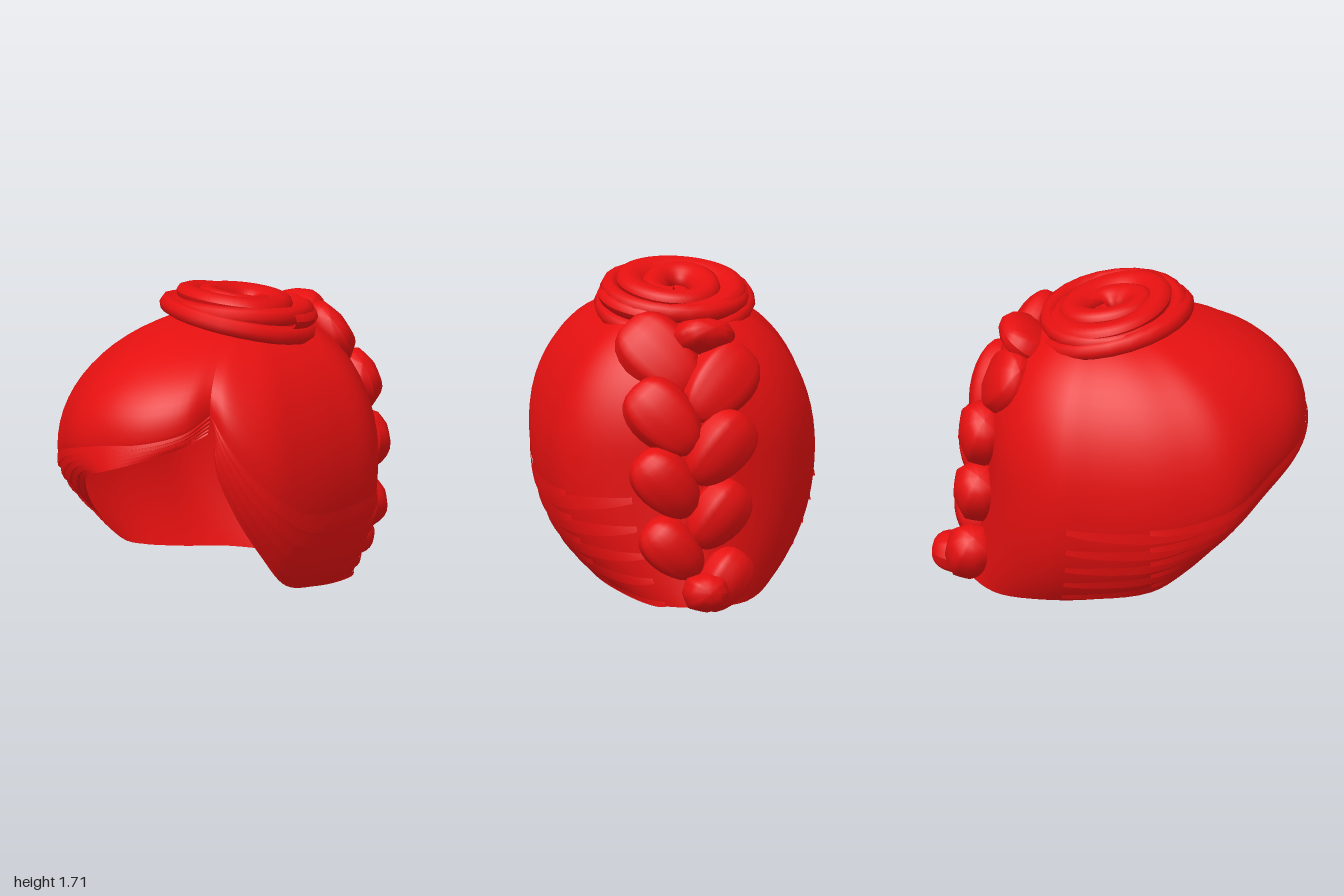
import * as THREE from 'three';

const hairRed = new THREE.MeshStandardMaterial({ color: 0xe51010, side: THREE.DoubleSide });
hairRed.name = 'hairRed';

const V = (x, y, z) => new THREE.Vector3(x, y, z);
const crown = V(0, 1.57, -0.1);

// Meridians from the parting across the fringe and round the head:
// widest point x, y, z, then hem point x, y, z
const meridians = [
  [0.43, 1.23, 0.62, 0.42, 1.1, 0.63],
  [0.39, 1.15, 0.78, 0.34, 1.04, 0.73],
  [0.22, 1.09, 0.93, 0.2, 0.97, 0.89],
  [0, 1.06, 0.99, 0, 0.89, 0.97],
  [-0.23, 1.0, 0.97, -0.22, 0.8, 0.88],
  [-0.46, 0.92, 0.83, -0.38, 0.66, 0.73],
  [-0.65, 0.82, 0.66, -0.49, 0.48, 0.55],
  [-0.72, 0.76, 0.42, -0.52, 0.32, 0.38],
  [-0.74, 0.75, 0.2, -0.54, 0.2, 0.2],
  [-0.71, 0.75, -0.1, -0.5, 0.12, -0.1],
  [-0.67, 0.78, -0.33, -0.42, 0.07, -0.4],
  [-0.45, 0.82, -0.58, -0.24, 0.02, -0.66],
  [0, 0.85, -0.7, 0, 0.03, -0.8],
  [0.46, 0.82, -0.58, 0.24, 0.02, -0.66],
  [0.69, 0.78, -0.38, 0.42, 0.07, -0.4],
  [0.74, 0.75, -0.1, 0.5, 0.12, -0.1],
  [0.75, 0.77, 0.2, 0.55, 0.2, 0.18],
  [0.72, 0.87, 0.4, 0.55, 0.4, 0.36],
  [0.63, 1.0, 0.54, 0.53, 0.67, 0.54],
  [0.53, 1.13, 0.61, 0.49, 0.94, 0.64],
  [0.43, 1.23, 0.62, 0.44, 1.17, 0.6],
];
const widest = new THREE.CatmullRomCurve3(meridians.map(m => V(m[0], m[1], m[2])));
const hem = new THREE.CatmullRomCurve3(meridians.map(m => V(m[3], m[4], m[5])));

// Point on the cap: u runs round the head, s runs from crown to hem
function capPoint(u, s) {
  const e = widest.getPoint(u), h = hem.getPoint(u);
  if (s < 0.6) {
    const a = (s / 0.6) * Math.PI / 2, r = Math.pow(Math.sin(a), 0.9);
    return V(crown.x + (e.x - crown.x) * r, e.y + (crown.y - e.y) * Math.cos(a), crown.z + (e.z - crown.z) * r);
  }
  const t = (s - 0.6) / 0.4;
  const c = V(e.x, e.y + (h.y - e.y) * 0.6, e.z);
  return e.multiplyScalar((1 - t) ** 2).addScaledVector(c, 2 * t * (1 - t)).addScaledVector(h, t * t);
}

function gridSurface(nu, ns, point) {
  const pos = [], index = [];
  for (let i = 0; i <= nu; i++)
    for (let j = 0; j <= ns; j++) pos.push(...point(i / nu, j / ns).toArray());
  for (let i = 0; i < nu; i++)
    for (let j = 0; j < ns; j++) {
      const a = i * (ns + 1) + j, b = a + ns + 1;
      index.push(a, b, a + 1, b, b + 1, a + 1);
    }
  const g = new THREE.BufferGeometry();
  g.setAttribute('position', new THREE.Float32BufferAttribute(pos, 3));
  g.setIndex(index);
  g.computeVertexNormals();
  return g;
}

function add(parent, geometry, name) {
  const mesh = new THREE.Mesh(geometry, hairRed);
  mesh.name = name;
  parent.add(mesh);
  return mesh;
}

// Thin tapering ribbons of hair lying just outside the cap along the hem
function makeStrands() {
  const group = new THREE.Group();
  group.name = 'hemStrands';
  const spans = [[0, 0.4], [0.03, 0.48], [0.7, 1], [0.64, 0.97]];
  spans.forEach(([from, to], k) => {
    for (let n = 0; n < 5; n++) {
      const s = 0.66 + 0.072 * n + 0.012 * k;
      const ribbon = gridSurface(40, 2, (u, v) => {
        const width = 0.05 * Math.sqrt(Math.sin(Math.PI * (0.02 + 0.96 * u)));
        const p = capPoint(from + (to - from) * u, Math.min(s + width * v, 1));
        const lift = 0.004 + 0.01 * v;
        return V(p.x * (1 + lift), p.y - lift * 0.5, p.z * (1 + lift));
      });
      add(group, ribbon, 'strand');
    }
  });
  return group;
}

// One plump lock of the braid: boxy, grooved lengthwise, narrower at one end
function lockGeometry() {
  const g = new THREE.SphereGeometry(1, 24, 12), p = g.attributes.position;
  const boxy = v => Math.sign(v) * Math.pow(Math.abs(v), 0.8);
  for (let i = 0; i < p.count; i++) {
    const x = p.getX(i), y = p.getY(i), z = p.getZ(i);
    const f = (1 + 0.04 * Math.cos(8 * Math.atan2(z, x))) * (1 + 0.15 * y);
    p.setXYZ(i, boxy(x) * f, y, boxy(z) * f);
  }
  g.computeVertexNormals();
  return g;
}

// Braid down the back: locks alternate sides, overlap and lean in to the middle
function makeBraid() {
  const group = new THREE.Group();
  group.name = 'braid';
  const path = new THREE.CatmullRomCurve3([
    V(0.03, 1.34, -0.5), V(0.05, 1.2, -0.6), V(0.06, 0.95, -0.71),
    V(0.07, 0.6, -0.74), V(0.05, 0.32, -0.76), V(0.03, 0.17, -0.79)]);
  const lock = lockGeometry(), count = 8;
  for (let i = 0; i < count; i++) {
    const t = i / (count - 1), side = i % 2 ? -1 : 1, size = 1 - 0.28 * t;
    const down = path.getTangentAt(t), across = V(1, 0, 0);
    const long = down.clone().multiplyScalar(-0.75).addScaledVector(across, side * 0.66).normalize();
    const out = across.clone().cross(down).normalize();
    // Roll each lock so its inner edge tucks under its neighbour
    const wide = long.clone().cross(out).normalize();
    out.addScaledVector(wide, -0.25 * side).normalize();
    wide.crossVectors(long, out);
    const mesh = add(group, lock, 'braidLock');
    mesh.quaternion.setFromRotationMatrix(new THREE.Matrix4().makeBasis(wide, long, out));
    mesh.scale.set(0.18 * size, 0.255 * size, 0.1 + 0.03 * Math.min(1, 2 * t));
    mesh.position.copy(path.getPointAt(t)).addScaledVector(across, side * 0.165 * size);
  }
  // Small lock tucked under the bun
  const top = add(group, lock, 'braidTop');
  top.scale.set(0.17, 0.2, 0.09);
  top.position.set(-0.02, 1.4, -0.46);
  top.rotation.set(-Math.PI / 4 - 0.2, 0, 0.3);
  // Loose tail tip
  const tip = add(group, lock, 'braidTip');
  tip.scale.set(0.12, 0.16, 0.1);
  tip.position.set(0.02, 0.12, -0.84);
  tip.rotation.x = -Math.PI / 2 + 0.15;
  return group;
}

// Coiled bun: broad overlapping locks round a small hollow centre
function makeBun() {
  const group = new THREE.Group();
  group.name = 'bun';
  const turns = 2.2;
  const coil = gridSurface(110, 12, (u, v) => {
    const a = u * turns * Math.PI * 2, b = v * Math.PI * 2;
    const w = 0.1 * (1 - 0.3 * u);
    const r = 0.32 - 0.23 * u + w * Math.cos(b) + 0.012 * Math.sin(a * 2.5);
    const y = -0.01 + 0.055 * Math.sin(u * 2.6) + 0.06 * Math.sin(b) + 0.02 * Math.cos(b);
    return V(r * Math.cos(a), y, -r * Math.sin(a));
  });
  add(group, coil, 'bunCoil');
  // Outer wrapped locks round the base
  for (let k = 0; k < 2; k++) {
    const ring = add(group, new THREE.TorusGeometry(0.38 - 0.03 * k, 0.05, 8, 24), 'bunWrap');
    ring.rotation.set(Math.PI / 2 + (k ? 0.06 : -0.05), k ? 0.05 : -0.06, 0);
    ring.position.y = -0.05 + 0.06 * k;
  }
  const core = add(group, new THREE.CylinderGeometry(0.28, 0.34, 0.08, 24), 'bunCore');
  core.position.y = -0.03;
  group.position.set(0.02, 1.57, -0.03);
  group.rotation.x = -0.2;
  return group;
}

export function createModel() {
  const model = new THREE.Group();
  model.name = 'braidedHair';
  add(model, gridSurface(100, 28, capPoint), 'hairCap');
  model.add(makeStrands(), makeBraid(), makeBun());
  return model;
}
